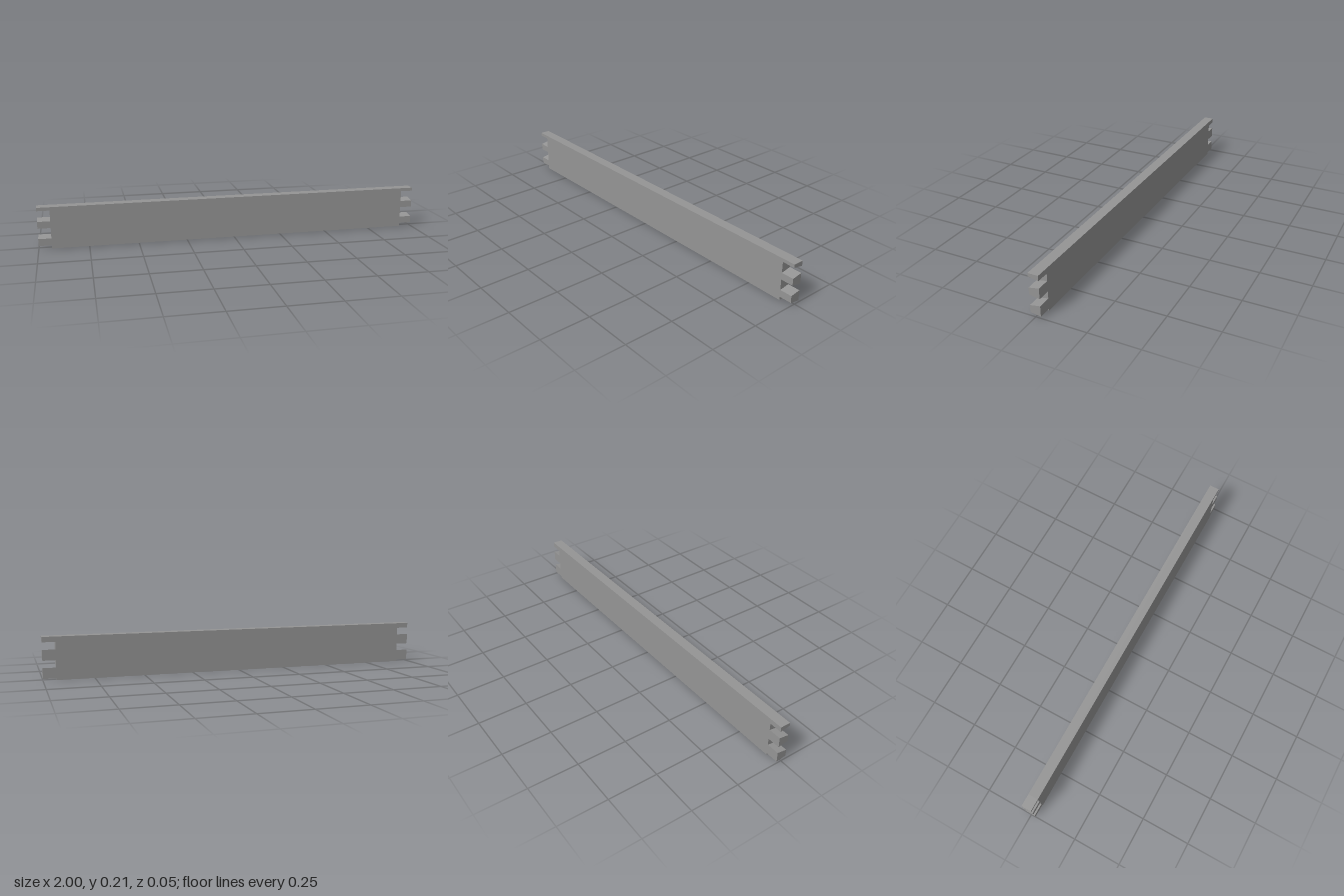
import * as THREE from 'three';

const HEIGHT = 0.214;
const HALF_DEPTH = 0.026;
const SHOULDER = 0.936; // where the joint cuts end
const TAIL_LENGTH = 1 - SHOULDER;

// Tapered tails: [front bottom, front top, back bottom, back top] heights
const TAILS = {
  lowerTail: [0.017, 0.053, 0.009, 0.062],
  middleTail: [0.107, 0.142, 0.098, 0.151],
  topHalfTail: [0.197, HEIGHT, 0.188, HEIGHT],
};

// Cross-section in the z-y plane, extruded along +x from startX
function tailGeometry([frontLow, frontHigh, backLow, backHigh], startX) {
  const section = new THREE.Shape([
    new THREE.Vector2(-HALF_DEPTH, frontLow),
    new THREE.Vector2(HALF_DEPTH, backLow),
    new THREE.Vector2(HALF_DEPTH, backHigh),
    new THREE.Vector2(-HALF_DEPTH, frontHigh),
  ]);
  return new THREE.ExtrudeGeometry(section, { depth: TAIL_LENGTH, bevelEnabled: false })
    .rotateY(Math.PI / 2)
    .translate(startX, 0, 0);
}

export function createModel() {
  const group = new THREE.Group();
  group.name = 'dovetailBoard';
  const material = new THREE.MeshStandardMaterial({ color: 0x959595, flatShading: true });

  // Main plank between the two shoulders
  const plank = new THREE.Mesh(
    new THREE.BoxGeometry(SHOULDER * 2, HEIGHT, HALF_DEPTH * 2).translate(0, HEIGHT / 2, 0),
    material
  );
  plank.name = 'plank';
  group.add(plank);

  // Matching dovetails at both ends
  for (const [side, startX] of [['left', SHOULDER], ['right', -1]]) {
    const end = new THREE.Group();
    end.name = `${side}Dovetails`;
    for (const [name, heights] of Object.entries(TAILS)) {
      const tail = new THREE.Mesh(tailGeometry(heights, startX), material);
      tail.name = name;
      end.add(tail);
    }
    group.add(end);
  }
  return group;
}
